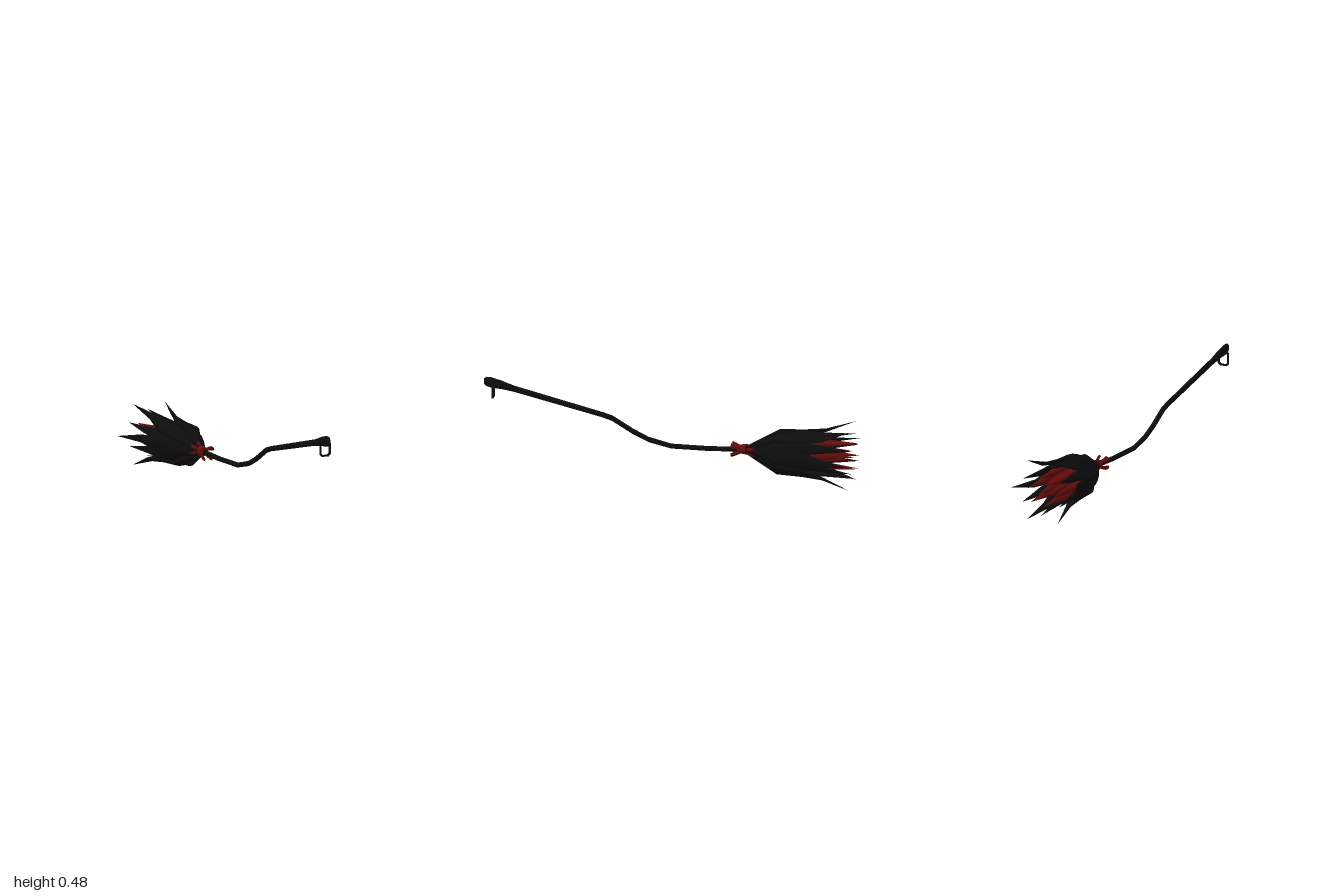
import * as THREE from 'three';

const black = new THREE.MeshStandardMaterial({ color: 0x0c0c0c, side: THREE.DoubleSide });
const red = new THREE.MeshStandardMaterial({ color: 0x650b0b, side: THREE.DoubleSide });
const AXIS_Y = 0.162; // height of the brush axis

// Skins elliptical sections running towards -z.
// Section: [z, x, y, half size x, half size y, tilt]
function loft(sections, sides) {
  const pos = [], index = [];
  sections.forEach(([z, x, y, a, b, tilt = 0], s) => {
    for (let i = 0; i < sides; i++) {
      const t = (i / sides) * Math.PI * 2;
      const u = a * Math.cos(t), v = b * Math.sin(t);
      pos.push(x + u * Math.cos(tilt) - v * Math.sin(tilt), y + u * Math.sin(tilt) + v * Math.cos(tilt), z);
      if (s === 0) continue;
      const j = (i + 1) % sides, p = (s - 1) * sides, q = s * sides;
      index.push(p + i, q + i, p + j, p + j, q + i, q + j);
    }
  });
  const geo = new THREE.BufferGeometry();
  geo.setAttribute('position', new THREE.Float32BufferAttribute(pos, 3));
  geo.setIndex(index);
  geo.computeVertexNormals();
  return geo;
}

function add(parent, name, geo, mat) {
  const mesh = new THREE.Mesh(geo, mat);
  mesh.name = name;
  parent.add(mesh);
  return mesh;
}

// Repeats one bristle clump around the brush axis
function ringOf(parent, name, geo, mat, count, start) {
  for (let i = 0; i < count; i++) {
    add(parent, name, geo, mat).rotation.z = start + (i / count) * Math.PI * 2;
  }
}

export function createModel() {
  const model = new THREE.Group();
  model.name = 'broom';

  // Bent handle with a swollen, rounded grip end: [z, y, half width, half height]
  const handle = [
    [0.99, 0.452, 0, 0], [0.988, 0.452, 0.007, 0.016], [0.975, 0.451, 0.012, 0.026],
    [0.95, 0.447, 0.013, 0.029], [0.9, 0.438, 0.013, 0.024], [0.83, 0.42, 0.013, 0.017],
    [0.36, 0.306, 0.013, 0.014], [0.31, 0.29, 0.013, 0.015], [0.2, 0.224, 0.013, 0.015],
    [0.12, 0.186, 0.013, 0.014], [0, 0.157, 0.013, 0.013], [-0.2, 0.156, 0.013, 0.013],
    [-0.42, 0.165, 0.013, 0.013],
  ].map(([z, y, a, b]) => [z, 0, y, a, b]);
  add(model, 'handle', loft(handle, 12), black);

  // Hanging loop: a flat frame with clipped corners
  const clipped = (Type, w, h, c) => {
    const s = new Type();
    [[w, h - c], [w - c, h], [c - w, h], [-w, h - c], [-w, c - h], [c - w, -h], [w - c, -h], [w, c - h]]
      .forEach(([x, y], i) => (i ? s.lineTo(x, y) : s.moveTo(x, y)));
    s.closePath();
    return s;
  };
  const frame = clipped(THREE.Shape, 0.032, 0.04, 0.012);
  frame.holes.push(clipped(THREE.Path, 0.023, 0.031, 0.009));
  const loopGeo = new THREE.ExtrudeGeometry(frame, { depth: 0.008, bevelEnabled: false });
  add(model, 'hangingLoop', loopGeo, black).position.set(0, 0.405, 0.936);

  const brush = new THREE.Group();
  brush.name = 'brush';
  brush.position.y = AXIS_Y;
  model.add(brush);

  // Red binding knot
  const bind = new THREE.LatheGeometry(
    [[0.013, -0.025], [0.021, -0.02], [0.025, 0], [0.028, 0.018], [0.023, 0.035], [0.013, 0.04]]
      .map(([r, y]) => new THREE.Vector2(r, y)), 12);
  bind.rotateX(-Math.PI / 2);
  add(brush, 'binding', bind, red).position.set(0, 0.003, -0.375);
  const band = add(brush, 'bindingBand', new THREE.TorusGeometry(0.023, 0.006, 6, 12), black);
  band.position.set(0, 0.003, -0.4);

  // Flared ribbon tabs in front of the knot
  const tab = loft([
    [-0.318, 0.036, 0, 0, 0], [-0.32, 0.036, 0, 0.008, 0.016], [-0.34, 0.029, 0, 0.008, 0.013],
    [-0.37, 0.018, 0, 0.006, 0.008], [-0.371, 0.018, 0, 0, 0],
  ], 6);
  ringOf(brush, 'ribbonTab', tab, red, 4, Math.PI / 4);

  // Outer clumps: twisted blades splaying into long points
  const outer = loft([
    [-0.39, 0.012, 0, 0.006, 0.008], [-0.47, 0.05, 0.008, 0.013, 0.025, 0.25],
    [-0.565, 0.096, 0.012, 0.015, 0.046, 0.35], [-0.7, 0.106, 0.004, 0.014, 0.043, 0.2],
    [-0.81, 0.128, -0.008, 0.008, 0.021, 0], [-0.96, 0.186, 0, 0, 0],
  ], 8);
  ringOf(brush, 'outerBristles', outer, black, 6, 0);

  // Middle clumps fill the gaps
  const middle = loft([
    [-0.39, 0.01, 0, 0.006, 0.008], [-0.47, 0.04, 0, 0.012, 0.019, -0.3],
    [-0.57, 0.08, 0, 0.015, 0.032, -0.4], [-0.7, 0.096, 0.004, 0.015, 0.034, -0.35],
    [-0.82, 0.106, 0.004, 0.01, 0.02, -0.2], [-0.975, 0.125, 0, 0, 0],
  ], 8);
  ringOf(brush, 'middleBristles', middle, black, 6, Math.PI / 6);

  // Red clumps glimpsed between the black ones
  const inner = loft([
    [-0.39, 0.012, 0, 0.009, 0.01], [-0.47, 0.045, 0, 0.016, 0.018],
    [-0.57, 0.074, 0, 0.022, 0.026], [-0.72, 0.074, 0, 0.024, 0.03],
    [-0.84, 0.07, 0, 0.014, 0.018], [-0.985, 0.075, 0, 0, 0],
  ], 8);
  ringOf(brush, 'innerRedBristles', inner, red, 6, Math.PI / 12);

  // Red core clumps
  const core = loft([
    [-0.39, 0.005, 0, 0.01, 0.01], [-0.55, 0.03, 0, 0.028, 0.03], [-0.7, 0.03, 0, 0.028, 0.03],
    [-0.82, 0.027, 0, 0.017, 0.02], [-0.95, 0.03, 0, 0, 0],
  ], 8);
  ringOf(brush, 'coreBristles', core, red, 3, Math.PI / 2);

  return model;
}
